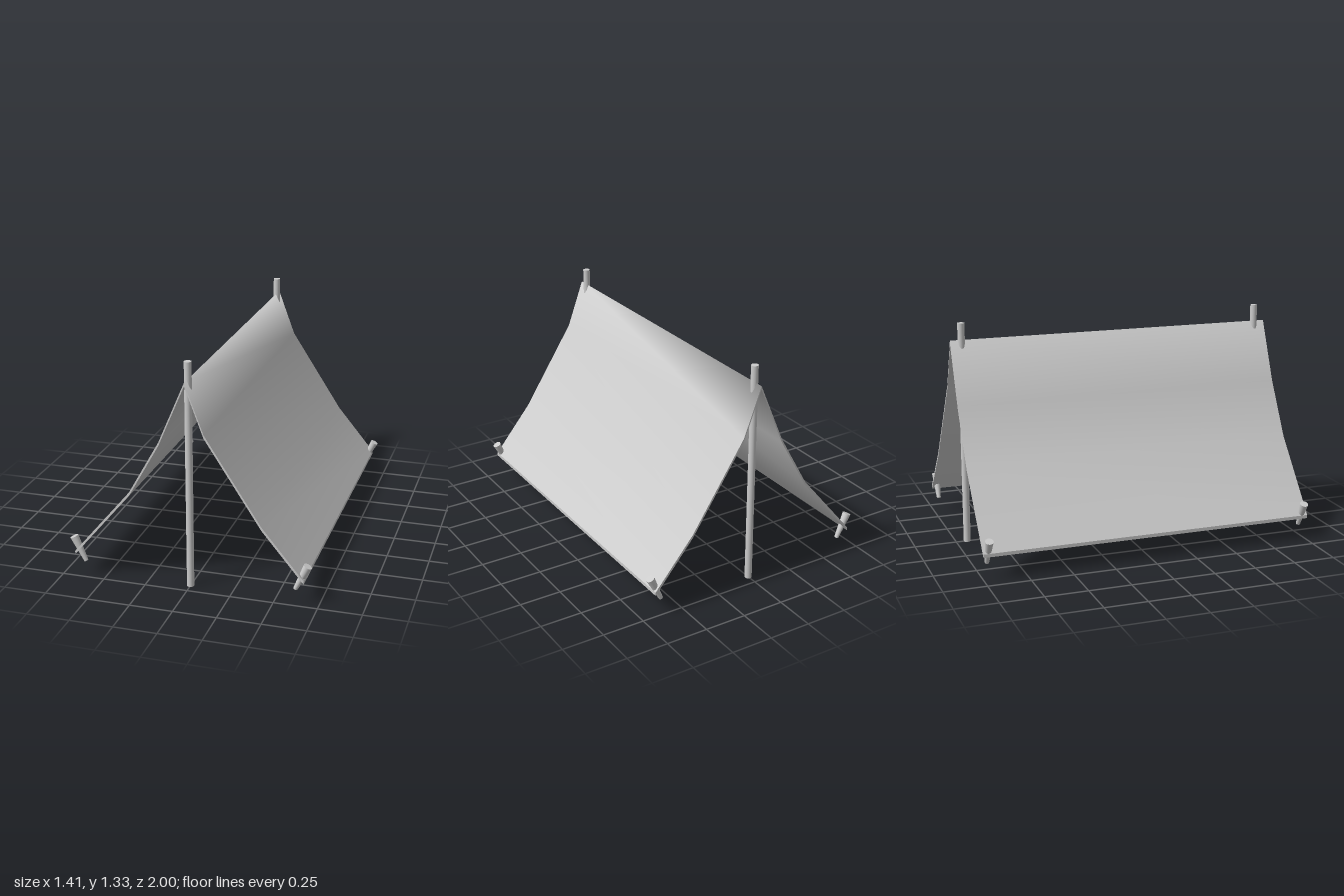
import * as THREE from 'three';

const material = new THREE.MeshStandardMaterial({ color: 0xcccccc });

// Quad strip between two polylines, smooth along its length
function strip(a, b) {
  const index = [];
  for (let i = 0; i < a.length - 1; i++) {
    const j = a.length + i;
    index.push(i, i + 1, j + 1, i, j + 1, j);
  }
  const geometry = new THREE.BufferGeometry().setFromPoints([...a, ...b]);
  geometry.setIndex(index);
  geometry.computeVertexNormals();
  return geometry;
}

function addMesh(parent, name, geometry) {
  const mesh = new THREE.Mesh(geometry, material);
  mesh.name = name;
  parent.add(mesh);
  return mesh;
}

export function createModel() {
  const model = new THREE.Group();
  model.name = 'tent';

  // Sagging canvas sheet: one profile, with the underside dropped straight down
  const profile = [[-0.67, 0.155], [-0.33, 0.56], [-0.152, 0.875], [0, 1.23],
    [0.106, 0.945], [0.43, 0.445], [0.67, 0.155]];
  const thickness = 0.02;
  const line = (drop, z) => profile.map(([x, y]) => new THREE.Vector3(x, y - drop, z));
  const topFront = line(0, 1), topBack = line(0, -1);
  const lowFront = line(thickness, 1), lowBack = line(thickness, -1);
  const end = profile.length - 1;

  const canvas = new THREE.Group();
  canvas.name = 'canvas';
  model.add(canvas);
  addMesh(canvas, 'canvasOutside', strip(topFront, topBack));
  addMesh(canvas, 'canvasInside', strip(lowBack, lowFront));
  addMesh(canvas, 'frontEdge', strip(lowFront, topFront));
  addMesh(canvas, 'backEdge', strip(topBack, lowBack));
  addMesh(canvas, 'leftHem', strip([lowFront[end], lowBack[end]], [topFront[end], topBack[end]]));
  addMesh(canvas, 'rightHem', strip([lowBack[0], lowFront[0]], [topBack[0], topFront[0]]));

  // Upright poles and tapered corner pegs leaning outward
  const poleGeometry = new THREE.CylinderGeometry(0.021, 0.021, 1.33, 24);
  const pegGeometry = new THREE.CylinderGeometry(0.0245, 0.0125, 0.16, 24);
  for (const [end, dir] of [['front', 1], ['back', -1]]) {
    addMesh(model, end + 'Pole', poleGeometry).position.set(0, 0.665, 0.933 * dir);
    for (const [name, side] of [['Left', 1], ['Right', -1]]) {
      const peg = addMesh(model, end + name + 'Peg', pegGeometry);
      peg.position.set(0.651 * side, 0.16, 0.968 * dir);
      peg.rotation.z = -0.44 * side;
    }
  }
  return model;
}
